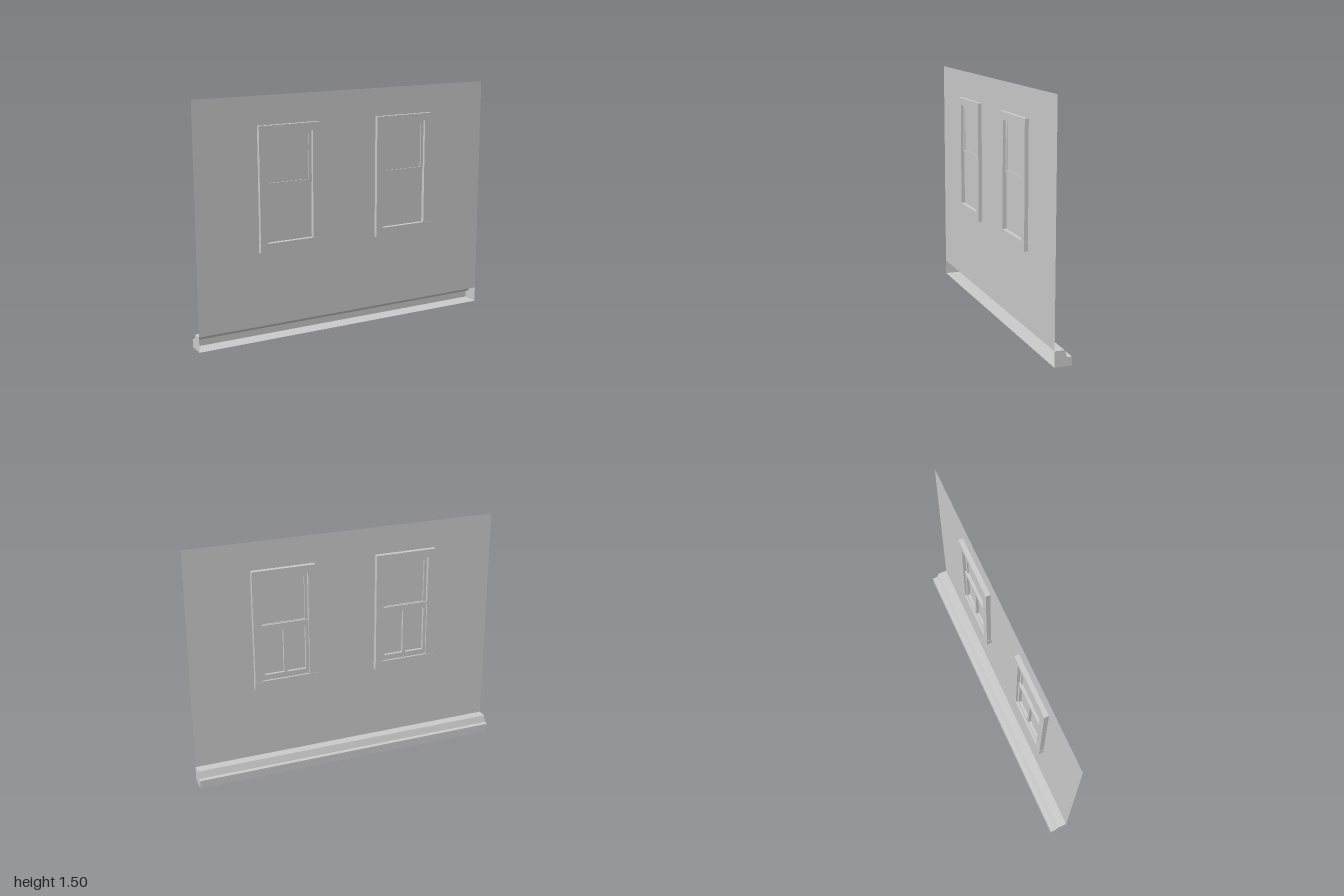
import * as THREE from 'three';

const material = new THREE.MeshStandardMaterial({ color: 0xcccccc });
const thin = new THREE.MeshStandardMaterial({ color: 0xcccccc, side: THREE.DoubleSide });

const WALL_Z = 0.04;

function add(parent, name, geometry, mat = material) {
  const mesh = new THREE.Mesh(geometry, mat);
  mesh.name = name;
  parent.add(mesh);
  return mesh;
}

// Trace a rectangle given its edges
function rect(path, x0, x1, y0, y1) {
  path.moveTo(x0, y0);
  path.lineTo(x1, y0);
  path.lineTo(x1, y1);
  path.lineTo(x0, y1);
  path.closePath();
  return path;
}

// Rectangular frame with openings, spanning z0 to z1; rects are [x0, x1, y0, y1]
function frame(outer, holes, z0, z1) {
  const shape = rect(new THREE.Shape(), ...outer);
  for (const h of holes) shape.holes.push(rect(new THREE.Path(), ...h));
  const geometry = new THREE.ExtrudeGeometry(shape, { depth: z1 - z0, bevelEnabled: false });
  return geometry.translate(0, 0, z0);
}

function createWindow() {
  const win = new THREE.Group();
  win.name = 'window';

  // Casing around the opening, slightly shallower than the sill
  add(win, 'casing', frame([-0.2, 0.2, 0.61, 1.325], [[-0.152, 0.152, 0.615, 1.277]], 0.011, 0.064));
  const sill = add(win, 'sill', new THREE.BoxGeometry(0.404, 0.055, 0.056));
  sill.position.set(0, 0.5875, 0.0375);

  // Upper sash with one pane
  add(win, 'upperSash', frame([-0.153, 0.153, 0.96, 1.278], [[-0.133, 0.133, 0.978, 1.256]], 0.031, 0.046));

  // Lower sash with two panes, its inner side flush with the wall
  const panes = [-1, 1].map((s) => [Math.min(s * 0.01, s * 0.133), Math.max(s * 0.01, s * 0.133), 0.65, 0.937]);
  add(win, 'lowerSash', frame([-0.153, 0.153, 0.614, 0.975], panes, 0.022, WALL_Z - 0.0005));
  return win;
}

// Stepped base course, open towards the front
function createPlinth() {
  const plinth = new THREE.Group();
  plinth.name = 'plinth';
  const profile = [
    [WALL_Z, 0.095], [-0.02, 0.095], [-0.036, 0.052],
    [-0.065, 0.052], [-0.065, 0], [WALL_Z, 0],
  ];
  for (let i = 0; i < profile.length - 1; i++) {
    const [z0, y0] = profile[i];
    const [z1, y1] = profile[i + 1];
    const strip = new THREE.PlaneGeometry(2, Math.hypot(z1 - z0, y1 - y0));
    strip.rotateX(Math.atan2(z1 - z0, y1 - y0));
    strip.translate(0, (y0 + y1) / 2, (z0 + z1) / 2);
    add(plinth, 'plinthFace', strip, thin);
  }
  const section = new THREE.Shape(profile.map(([z, y]) => new THREE.Vector2(-z, y)));
  for (const side of [-1, 1]) {
    const cap = new THREE.ShapeGeometry(section).rotateY(Math.PI / 2);
    add(plinth, 'plinthEnd', cap, thin).position.x = side;
  }
  return plinth;
}

export function createModel() {
  const model = new THREE.Group();
  model.name = 'wallWithWindows';

  // Thin wall sheet, which also closes the window panes
  const wall = add(model, 'wall', new THREE.PlaneGeometry(2, 1.405), thin);
  wall.position.set(0, 0.095 + 1.405 / 2, WALL_Z);

  model.add(createPlinth());
  for (const side of [-1, 1]) {
    const win = createWindow();
    win.position.x = side * 0.4;
    model.add(win);
  }
  return model;
}
